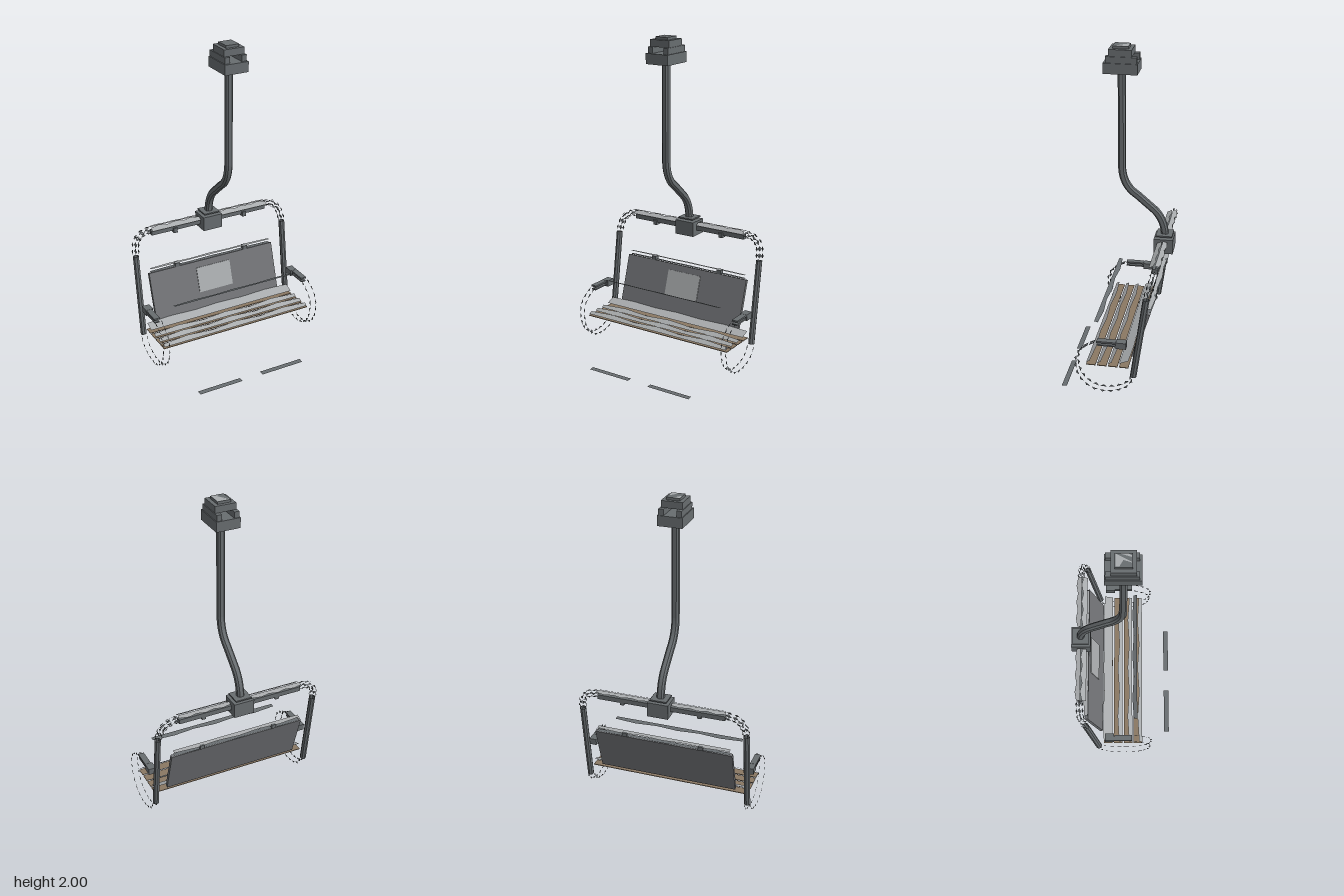
import * as THREE from 'three';

const V = (x, y, z) => new THREE.Vector3(x, y, z);

export function createModel() {
  const group = new THREE.Group();
  const mat = (name, color) => new THREE.MeshStandardMaterial({ name, color, flatShading: true, side: THREE.DoubleSide });
  const metal = mat('steel grey', 0x686d70);
  const panel = mat('backrest grey', 0x727477);
  const light = mat('light grey', 0xa9acae);
  const wood = mat('slat brown', 0x8a7863);

  const add = (name, geo, material, x = 0, y = 0, z = 0) => {
    const m = new THREE.Mesh(geo, material);
    m.name = name;
    m.position.set(x, y, z);
    group.add(m);
    return m;
  };
  const box = (name, w, h, d, x, y, z, material = metal) =>
    add(name, new THREE.BoxGeometry(w, h, d), material, x, y, z);

  const mesh = (pos, idx) => {
    const g = new THREE.BufferGeometry();
    g.setAttribute('position', new THREE.Float32BufferAttribute(pos, 3));
    if (idx) g.setIndex(idx);
    g.computeVertexNormals();
    return g;
  };

  // Thin strip along x whose back edge waves by a given depth
  const strip = (x0, x1, yF, zF, yB, zB, wave) => {
    const pos = [], idx = [], n = 6;
    for (let i = 0; i <= n; i++) {
      const x = x0 + (x1 - x0) * i / n;
      const k = 1 - (i % 2 ? 0 : wave);
      pos.push(x, yF, zF, x, yF + (yB - yF) * k, zF + (zB - zF) * k);
      if (i < n) {
        const a = 2 * i;
        idx.push(a, a + 2, a + 1, a + 1, a + 2, a + 3);
      }
    }
    return mesh(pos, idx);
  };

  // Row of narrow slivers lying on an open tube around a curve
  const slivers = (points, axis, count, r, width, angles) => {
    const curve = new THREE.CatmullRomCurve3(points);
    const pos = [];
    for (let i = 0; i < count; i++) {
      const u0 = i / count, u1 = (i + 0.8) / count;
      const p0 = curve.getPointAt(u0), p1 = curve.getPointAt(u1), t = curve.getTangentAt((u0 + u1) / 2);
      const n = t.clone().cross(axis).normalize();
      const b = n.clone().cross(t).normalize();
      for (const a of angles) {
        const out = n.clone().multiplyScalar(Math.cos(a) * r).addScaledVector(b, Math.sin(a) * r);
        const across = b.clone().multiplyScalar(Math.cos(a) * width).addScaledVector(n, -Math.sin(a) * width);
        const q0 = p0.clone().add(out), q1 = p1.clone().add(out);
        const q2 = q0.clone().lerp(q1, 0.5).add(across);
        pos.push(...q0.toArray(), ...q1.toArray(), ...q2.toArray());
      }
    }
    return mesh(pos);
  };

  // Cable grip
  box('gripBase', 0.145, 0.06, 0.193, 0, 1.88, 0.002);
  for (const s of [-1, 1]) box('gripCheek', 0.03, 0.036, 0.175, s * 0.052, 1.928, -0.002);
  box('gripTop', 0.125, 0.04, 0.13, 0, 1.965, 0.004);
  box('gripCap', 0.08, 0.015, 0.09, 0, 1.9925, 0.004);
  box('gripCapPlate', 0.07, 0.002, 0.08, 0, 1.999, 0.004, light);

  // Hanger arm with a chamfered section and an S bend
  const path = new THREE.CurvePath();
  const bend = (a, b, c) => path.add(new THREE.QuadraticBezierCurve3(a, b, c));
  const P = [V(0, 1.86, 0.004), V(0, 1.28, 0.002), V(0, 1.17, -0.005), V(0, 1.12, -0.085), V(0, 1.03, -0.19), V(0, 0.97, -0.25), V(0, 0.87, -0.252)];
  path.add(new THREE.LineCurve3(P[0], P[1]));
  bend(P[1], P[2], P[3]);
  path.add(new THREE.LineCurve3(P[3], P[4]));
  bend(P[4], P[5], P[6]);
  const h = 0.021, c = 0.011;
  const section = new THREE.Shape([[h, c], [c, h], [-c, h], [-h, c], [-h, -c], [-c, -h], [c, -h], [h, -c]]
    .map(([x, y]) => new THREE.Vector2(x, y)));
  add('hangerArm', new THREE.ExtrudeGeometry(section, { steps: 60, extrudePath: path, bevelEnabled: false }), metal);

  // Clamp block joining hanger and frame
  box('clampBlock', 0.125, 0.088, 0.113, 0, 0.827, -0.25);
  box('clampFlange', 0.1, 0.008, 0.095, 0, 0.885, -0.252);

  const up = V(0, 0, 1), side = V(1, 0, 0);
  for (const s of [-1, 1]) {
    const tag = s > 0 ? 'left' : 'right';
    // Frame crossbar and its upper skin
    box(tag + 'Crossbar', 0.325, 0.028, 0.03, s * 0.225, 0.828, -0.25);
    const x0 = s * 0.07, x1 = s * 0.39;
    add(tag + 'CrossbarSkin', strip(x0, x1, 0.865, -0.25, 0.858, -0.282, 0.3), light);
    add(tag + 'CrossbarFrontSkin', strip(x0, x1, 0.85, -0.215, 0.868, -0.25, 0.3), light);
    box(tag + 'CrossbarLug', 0.025, 0.03, 0.04, s * 0.235, 0.815, -0.245);

    // Rounded frame corner
    add(tag + 'FrameCorner', slivers(
      [V(s * 0.39, 0.845, -0.255), V(s * 0.45, 0.833, -0.252), V(s * 0.49, 0.79, -0.243), V(s * 0.503, 0.715, -0.22)],
      up, 5, 0.02, 0.012, [0, 1, 2, 3, 4, 5].map(k => k * Math.PI / 3)), metal);

    // Upright side tube
    const tube = add(tag + 'SideTube', new THREE.CylinderGeometry(0.019, 0.019, 0.505, 8, 1, true), metal, s * 0.503, 0.462, -0.185);
    tube.rotation.x = -Math.atan2(0.07, 0.5);

    // Looped arm below the seat up to the armrest
    add(tag + 'ArmLoop', slivers(
      [V(0, 0.205, -0.145), V(0, 0.155, -0.115), V(0, 0.117, -0.03), V(0, 0.12, 0.07), V(0, 0.17, 0.14),
        V(0, 0.23, 0.17), V(0, 0.335, 0.17), V(0, 0.38, 0.135), V(0, 0.425, 0.06)].map(p => p.setX(s * 0.503)),
      side, 14, 0.018, 0.013, [Math.PI / 2, -Math.PI / 2]), metal);

    // Armrest and its bracket
    box(tag + 'ArmBracket', 0.045, 0.038, 0.057, s * 0.5, 0.413, -0.082);
    box(tag + 'ArmrestUpper', 0.036, 0.01, 0.11, s * 0.504, 0.427, 0.003);
    box(tag + 'ArmrestLower', 0.03, 0.008, 0.11, s * 0.504, 0.406, 0.003);

    // Footrest plate
    add(tag + 'Footrest', strip(s * 0.07, s * 0.353, 0, 0.306, 0.002, 0.275, 0), metal);

    // Backrest rail lug
    box(tag + 'BackrestLug', 0.028, 0.025, 0.03, s * 0.235, 0.588, -0.225);
  }

  // Seat: four slats, each a brown board under a grey upper skin
  for (let i = 0; i < 4; i++) {
    const front = -0.066 + i * 0.0635;
    box('seatBoard', 0.99, 0.004, 0.054, 0, 0.257, front - 0.027, wood);
    if (i > 0) add('seatSlatSkin', strip(-0.49, 0.49, 0.268, front, 0.286, front - 0.03, 0.35), light);
  }
  add('rearSlatSkin', strip(-0.49, 0.49, 0.278, -0.066, 0.302, -0.125, 0.1), light);

  // Backrest panel with a blank plate and a top rail
  const back = new THREE.Group();
  back.name = 'backrest';
  back.position.set(0, 0.433, -0.178);
  back.rotation.x = -0.3;
  group.add(back);
  back.add(box('backPanel', 0.85, 0.295, 0.02, 0, 0, 0, panel));
  back.add(box('backPlate', 0.23, 0.155, 0.004, 0, 0.03, 0.012, light));
  add('backrestRailTop', strip(-0.41, 0.41, 0.603, -0.212, 0.598, -0.242, 0.3), light);
  add('backrestRailBottom', strip(-0.41, 0.41, 0.581, -0.212, 0.579, -0.238, 0.2), metal);

  // Safety bar
  add('safetyBar', strip(-0.4, 0.42, 0.5, 0.09, 0.492, 0.06, 0.3), metal);

  return group;
}
